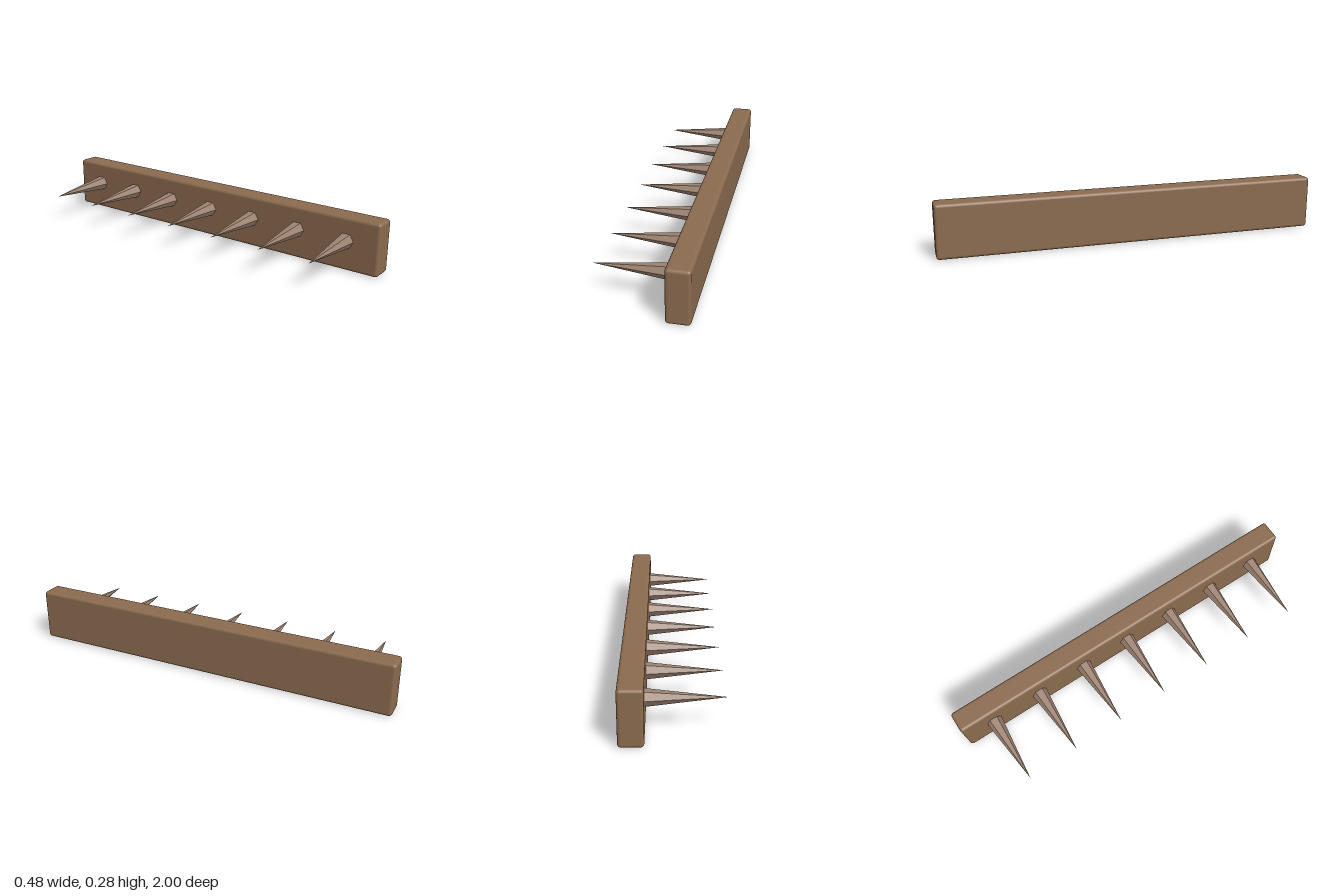
import * as THREE from 'three';
import { RoundedBoxGeometry } from 'three/addons/geometries/RoundedBoxGeometry.js';

export function createModel() {
  const model = new THREE.Group();
  model.name = 'spikedBeam';

  const wood = new THREE.MeshStandardMaterial({ color: 0x8b6b4f });
  wood.name = 'brown wood';
  const spikeWood = new THREE.MeshStandardMaterial({ color: 0x9c8270, flatShading: true });
  spikeWood.name = 'pale spike wood';

  // Long plank with softened edges
  const beam = new THREE.Mesh(new RoundedBoxGeometry(0.116, 0.275, 2, 3, 0.016), wood);
  beam.name = 'beam';
  beam.position.set(0.183, 0.1385, 0);
  model.add(beam);

  // Row of six-sided spikes pointing to -x, slightly sunk into the plank
  const count = 7, spacing = 0.2755;
  const baseX = 0.13, tipX = -0.242, length = baseX - tipX;
  const spikeGeometry = new THREE.ConeGeometry(0.0415, length, 6);
  spikeGeometry.rotateZ(Math.PI / 2);
  for (let i = 0; i < count; i++) {
    const spike = new THREE.Mesh(spikeGeometry, spikeWood);
    spike.name = `spike${i + 1}`;
    spike.position.set((baseX + tipX) / 2, 0.157, (i - (count - 1) / 2) * spacing - 0.003);
    model.add(spike);
  }

  return model;
}
